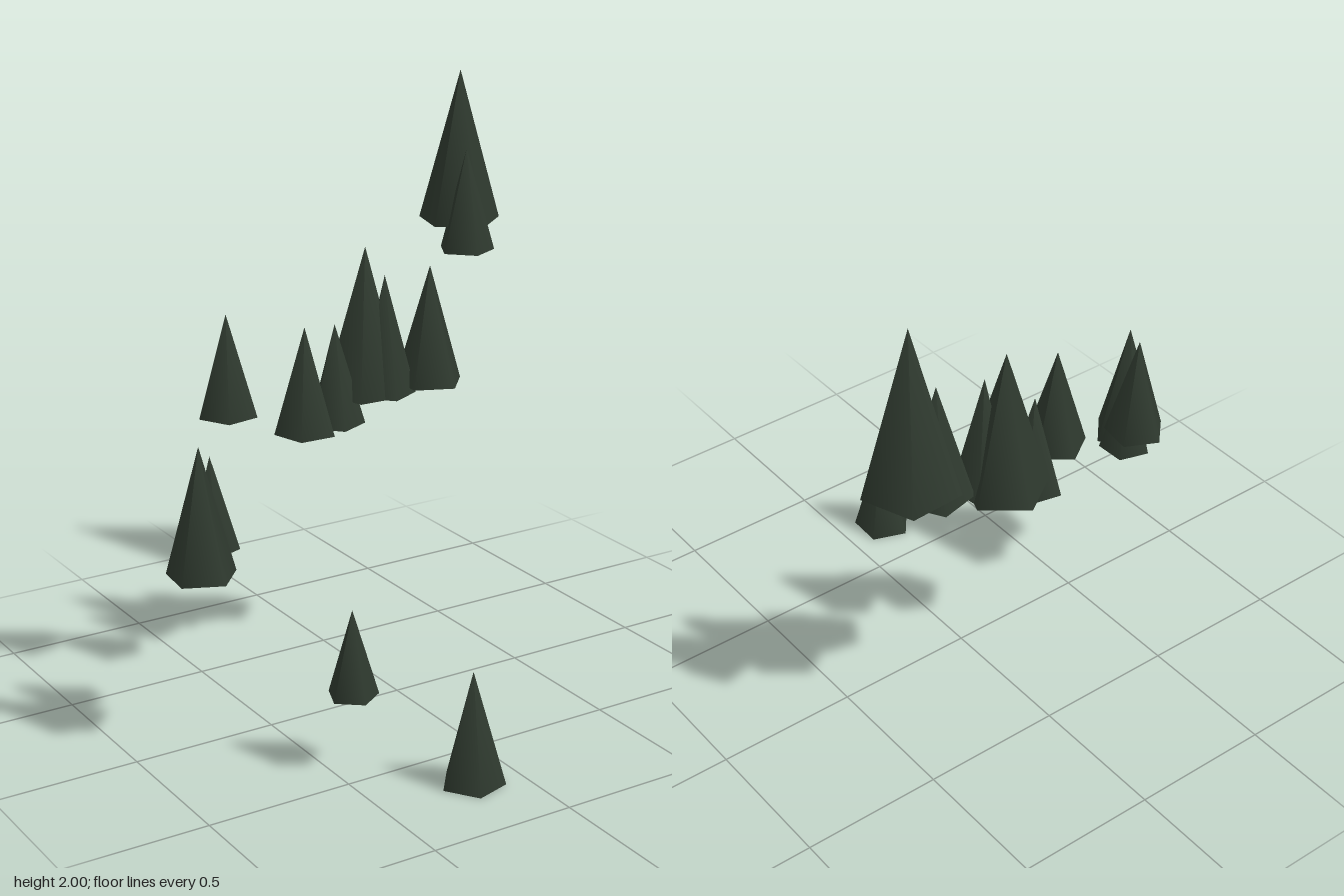
import * as THREE from 'three';

// One row per tree: x, z, base height, tip height, radius, turn in degrees
const TREES = [
  [0.70, -0.675, 1.45, 2.00, 0.154, 3],
  [0.655, -0.565, 1.365, 1.737, 0.104, -9.5],
  [-0.428, -0.39, 0.972, 1.327, 0.103, -26],
  [-0.217, -0.232, 0.918, 1.288, 0.108, 34],
  [-0.037, -0.338, 0.89, 1.245, 0.103, -12],
  [0.104, -0.366, 0.972, 1.492, 0.150, 34],
  [0.155, -0.322, 0.972, 1.394, 0.108, -10],
  [0.317, -0.286, 0.995, 1.414, 0.122, 13],
  [-0.744, 0.0, 0.594, 1.034, 0.120, 12],
  [-0.652, -0.103, 0.634, 0.954, 0.093, -16],
  [-0.42, 0.397, 0.249, 0.544, 0.086, -3],
  [-0.163, 0.703, 0.0, 0.387, 0.108, -20],
];

export function createModel() {
  const group = new THREE.Group();
  group.name = 'hillsideConifers';
  const foliage = new THREE.MeshStandardMaterial({ color: 0x2f3a2f });
  foliage.name = 'dark pine green';

  // Five-sided cone with its base at y = 0, scaled for each tree
  const cone = new THREE.ConeGeometry(1, 1, 5).translate(0, 0.5, 0);

  TREES.forEach(([x, z, base, tip, radius, turn], i) => {
    const height = tip - base;
    const tree = new THREE.Mesh(cone.clone().scale(radius, height, radius), foliage);
    tree.name = `coniferTree${i + 1}`;
    tree.position.set(x, base, z);
    tree.rotation.y = THREE.MathUtils.degToRad(turn);
    group.add(tree);
  });
  return group;
}
